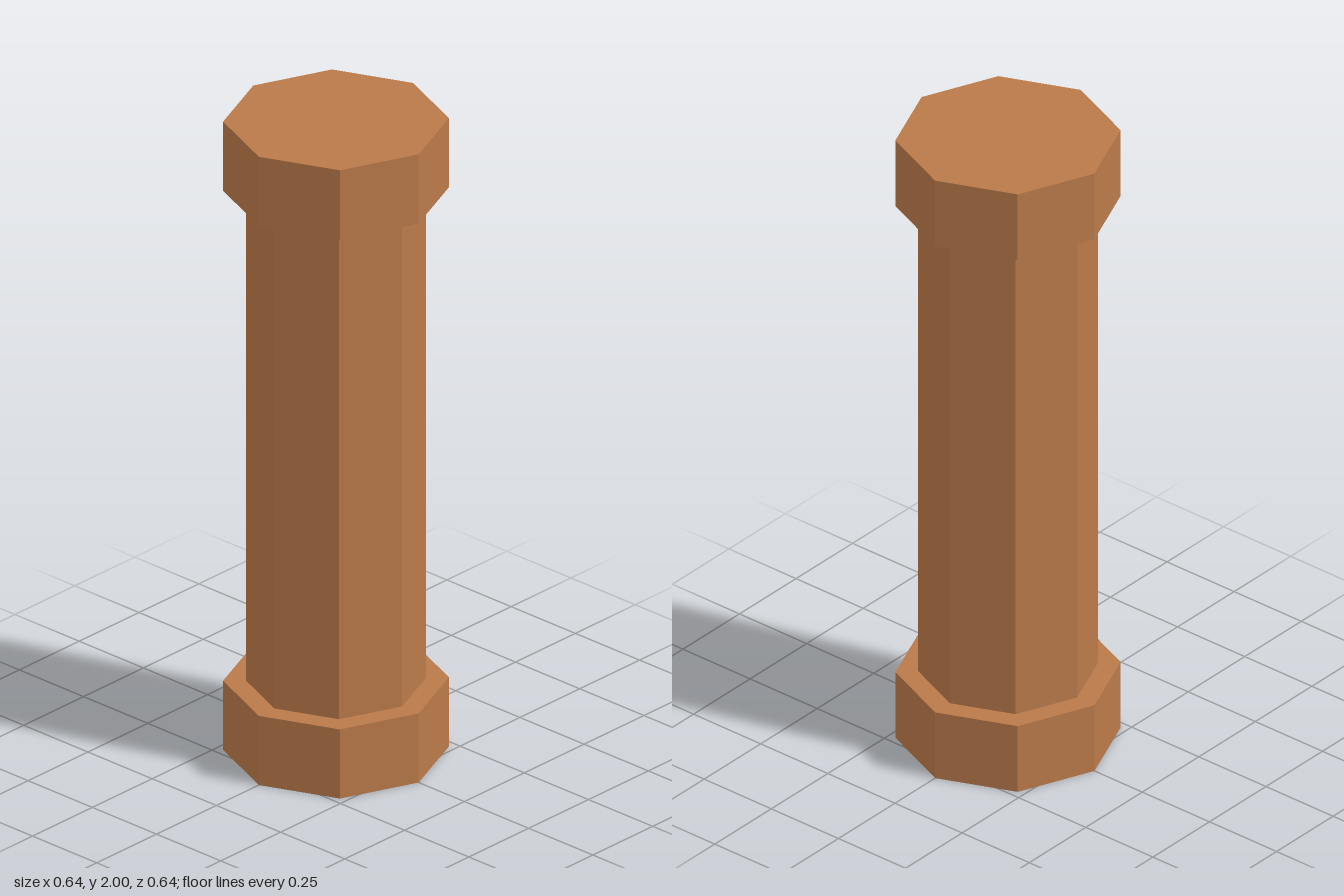
import * as THREE from 'three';

export function createModel() {
  const group = new THREE.Group();
  group.name = 'column';

  const clay = new THREE.MeshStandardMaterial({ color: 0xba7a4a, flatShading: true });
  clay.name = 'warm brown';

  // Eight-sided prism with corners on the x and z axes
  function addPrism(name, radius, bottom, top) {
    const geometry = new THREE.CylinderGeometry(radius, radius, top - bottom, 8);
    const mesh = new THREE.Mesh(geometry, clay);
    mesh.name = name;
    mesh.position.y = (bottom + top) / 2;
    group.add(mesh);
  }

  addPrism('base', 0.322, 0, 0.22);
  addPrism('shaft', 0.257, 0.22, 1.78);
  addPrism('capital', 0.322, 1.78, 2);

  return group;
}
